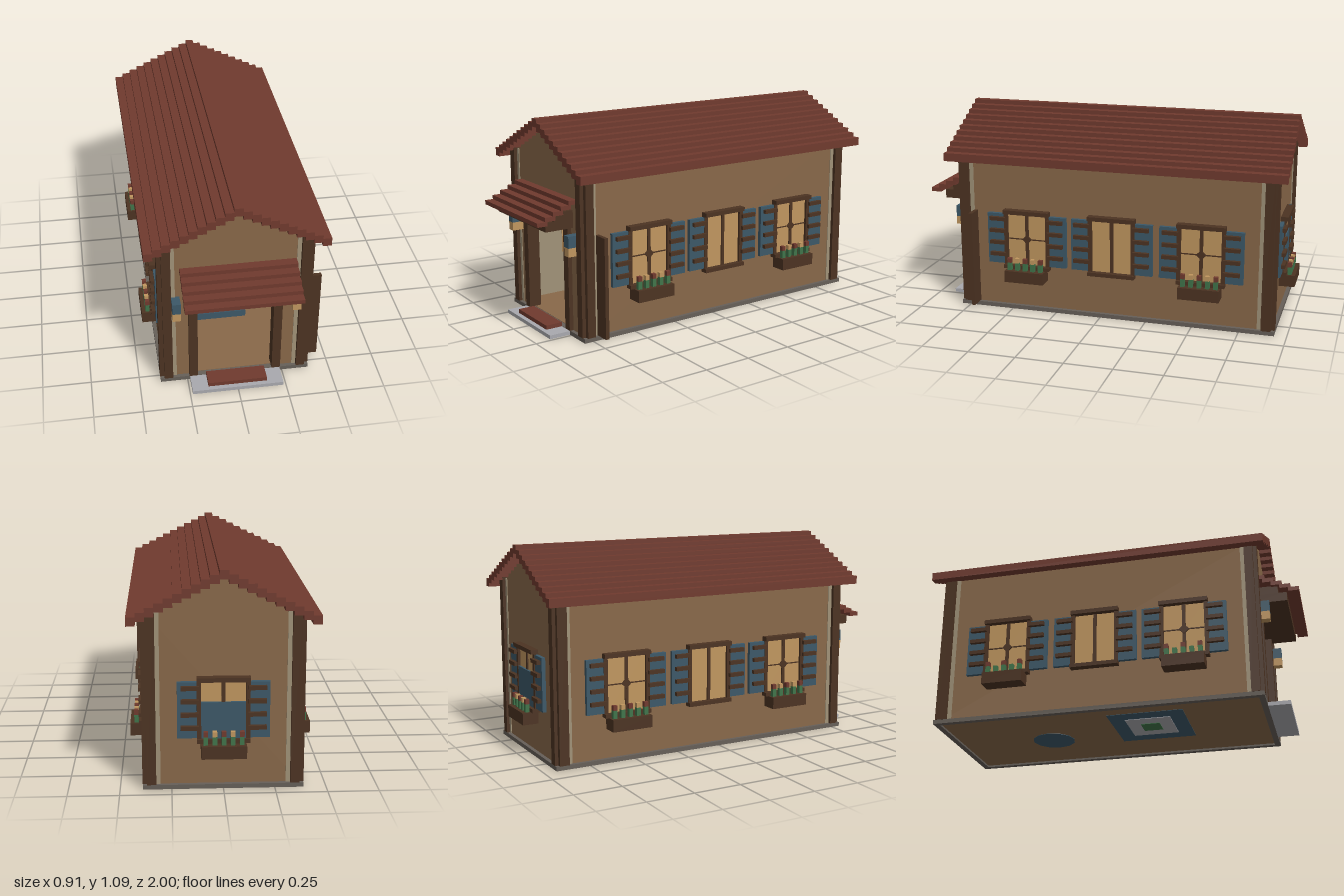
import * as THREE from 'three';

const mat = (name, color) => {
  const m = new THREE.MeshStandardMaterial({ color });
  m.name = name;
  return m;
};

export function createModel() {
  const M = {
    roof: mat('brick red', 0x703a2e),
    wall: mat('tan plaster', 0x886849),
    wood: mat('dark wood', 0x4c3322),
    plaster: mat('pale plaster', 0xa09278),
    stone: mat('foundation stone', 0x665f58),
    grey: mat('light stone', 0xa9a9ae),
    blue: mat('slate blue', 0x3c5868),
    pane: mat('warm pane', 0xc0965f),
    green: mat('leaf green', 0x40744a),
  };
  const house = new THREE.Group();
  house.name = 'house';

  const add = (parent, name, geo, m) => {
    const mesh = new THREE.Mesh(geo, m);
    mesh.name = name;
    parent.add(mesh);
    return mesh;
  };
  // Box given by its min and max on each axis
  const box = (parent, name, m, x0, x1, y0, y1, z0, z1) => {
    const b = add(parent, name, new THREE.BoxGeometry(x1 - x0, y1 - y0, z1 - z0), m);
    b.position.set((x0 + x1) / 2, (y0 + y1) / 2, (z0 + z1) / 2);
    return b;
  };
  // Box mirrored across x = 0
  const pair = (parent, name, m, x0, x1, ...r) => {
    box(parent, name, m, x0, x1, ...r);
    box(parent, name, m, -x1, -x0, ...r);
  };

  // Foundation rim and floor
  pair(house, 'foundationSide', M.stone, 0.36, 0.39, 0, 0.022, -0.935, 0.8);
  box(house, 'foundationFront', M.stone, -0.36, 0.36, 0, 0.022, 0.77, 0.8);
  box(house, 'foundationBack', M.stone, -0.36, 0.36, 0, 0.022, -0.935, -0.905);
  box(house, 'floor', M.wall, -0.36, 0.36, 0.01, 0.024, -0.905, 0.77);

  // Gable walls, with a doorway at the front
  const gable = (hw, top, door) => {
    const pts = [[-hw, 0.02]];
    if (door) pts.push([-0.2, 0.02], [-0.2, 0.58], [0.2, 0.58], [0.2, 0.02]);
    pts.push([hw, 0.02], [hw, top - hw / 2], [0, top], [-hw, top - hw / 2]);
    return new THREE.Shape(pts.map(p => new THREE.Vector2(...p)));
  };
  const slab = (name, shape, depth, z, m) => {
    const g = new THREE.ExtrudeGeometry(shape, { depth, bevelEnabled: false });
    add(house, name, g, m).position.z = z;
  };
  slab('frontWall', gable(0.37, 1.06, true), 0.03, 0.75, M.wall);
  slab('frontLining', gable(0.345, 1.045, true), 0.01, 0.74, M.plaster);
  slab('backWall', gable(0.37, 1.06, false), 0.03, -0.915, M.wall);
  slab('backLining', gable(0.345, 1.045, false), 0.01, -0.885, M.plaster);

  // Long walls with inner lining
  pair(house, 'sideWall', M.wall, 0.345, 0.37, 0.02, 0.875, -0.9, 0.77);
  pair(house, 'sideLining', M.plaster, 0.335, 0.345, 0.02, 0.875, -0.885, 0.75);

  // Notched corner posts with pale strips beside them
  for (const [zi, zm, zo] of [[0.737, 0.782, 0.802], [-0.865, -0.917, -0.935]]) {
    const [a, b, c] = [zi, zm, zo];
    pair(house, 'cornerPost', M.wood, 0.325, 0.37, 0.022, 0.885, Math.min(a, c), Math.max(a, c));
    pair(house, 'cornerPostSide', M.wood, 0.33, 0.392, 0.022, 0.87, Math.min(a, b), Math.max(a, b));
    const s = Math.sign(zi);
    const wz = s > 0 ? 0.78 : -0.915;
    pair(house, 'cornerPlaster', M.plaster, 0.304, 0.325, 0.022, 0.88,
      Math.min(wz - 0.002, wz + s * 0.004), Math.max(wz + 0.002, wz + s * 0.004));
    pair(house, 'cornerPlasterSide', M.plaster, 0.368, 0.374, 0.022, 0.86,
      Math.min(zi, zi - s * 0.022), Math.max(zi, zi - s * 0.022));
  }

  // Stepped main roof
  const u = 1 / 46;
  box(house, 'roofRidge', M.roof, -u, u, 1.087 - 2 * u, 1.087, -0.98, 0.845);
  for (let k = 1; k <= 10; k++) {
    const x = u + 2 * u * (k - 1), y = 1.087 - u * k;
    pair(house, 'roofStep', M.roof, x, x + 2 * u, y - 2 * u, y, -0.98, 0.845);
  }

  // Doorway frame and open door leaf folded by the side wall
  pair(house, 'doorPost', M.wood, 0.195, 0.24, 0.022, 0.57, 0.735, 0.802);
  box(house, 'doorLintel', M.wood, -0.26, 0.26, 0.567, 0.615, 0.735, 0.935);
  box(house, 'canopyBeam', M.wood, -0.26, 0.26, 0.615, 0.658, 0.775, 0.89);
  box(house, 'doorLeaf', M.wood, 0.37, 0.455, 0.022, 0.545, 0.697, 0.717);

  // Stepped canopy over the door
  for (let k = 0; k < 5; k++) {
    const z = 1 - 2 * u * k;
    box(house, 'canopyStep', M.roof, -0.28, 0.302, 0.61 + u * k, 0.61 + u * (k + 1),
      k === 4 ? 0.77 : z - 2.6 * u, z);
  }

  // Doorstep and mat
  box(house, 'doorstep', M.grey, -0.237, 0.237, 0, 0.02, 0.8, 0.914);
  box(house, 'doormat', M.roof, -0.153, 0.153, 0.02, 0.042, 0.8, 0.89);

  // Wall lanterns
  pair(house, 'lanternCap', M.blue, 0.282, 0.325, 0.485, 0.545, 0.775, 0.845);
  pair(house, 'lanternGlow', M.pane, 0.282, 0.325, 0.44, 0.485, 0.775, 0.845);

  // Window facing local +z, with shutters and an optional flower box
  const makeWindow = (planter, quartered) => {
    const w = new THREE.Group();
    w.name = 'window';
    box(w, 'pane', M.pane, -0.11, 0.11, 0.255, 0.55, -0.04, 0.01);
    pair(w, 'frameStile', M.wood, 0.107, 0.128, 0.245, 0.56, 0, 0.024);
    box(w, 'frameHead', M.wood, -0.128, 0.128, 0.543, 0.565, 0, 0.04);
    box(w, 'sill', M.wood, -0.128, 0.128, 0.238, 0.258, 0, 0.04);
    box(w, 'mullion', M.wood, -0.009, 0.009, 0.255, 0.55, 0, 0.016);
    if (quartered) {
      box(w, 'glazingBar', M.wood, -0.11, 0.11, 0.399, 0.405, 0, 0.014);
      const d = box(w, 'glazingBoss', M.wood, -0.019, 0.019, 0.383, 0.421, 0.01, 0.018);
      d.rotation.z = Math.PI / 4;
    }
    pair(w, 'shutter', M.blue, 0.128, 0.222, 0.26, 0.54, -0.005, 0.02);
    for (let i = 0; i < 4; i++) {
      const y = 0.305 + i * 0.066;
      pair(w, 'shutterSlat', M.wood, 0.118, 0.205, y, y + 0.02, 0.015, 0.04);
    }
    if (planter) {
      box(w, 'flowerBox', M.wood, -0.109, 0.109, 0.175, 0.238, 0, 0.085);
      for (let i = 0; i < 5; i++) {
        const x = (i - 2) * 0.0435;
        box(w, 'flowerStem', M.green, x - 0.011, x + 0.011, 0.238, 0.28, 0.043, 0.065);
        box(w, 'flower', i % 2 ? M.pane : M.roof, x - 0.011, x + 0.011, 0.28, 0.305, 0.043, 0.065);
      }
    }
    house.add(w);
    return w;
  };
  for (const s of [1, -1]) {
    [0.41, -0.064, -0.545].forEach((z, i) => {
      const w = makeWindow(i !== 1, i !== 1);
      w.position.set(s * 0.37, 0, z);
      w.rotation.y = s * Math.PI / 2;
    });
  }
  const back = makeWindow(true, false);
  back.position.z = -0.915;
  back.rotation.y = Math.PI;
  box(back, 'backWindowPanel', M.blue, -0.107, 0.107, 0.258, 0.44, 0, 0.022);
  // Inside of the back window
  box(house, 'innerCurtain', M.roof, -0.022, 0.022, 0.46, 0.545, -0.876, -0.868);
  box(house, 'headboard', M.grey, -0.108, 0.108, 0.024, 0.46, -0.876, -0.84);

  // Stepped stone centrepiece on a blue base, which shows beneath the floor
  const cx = -0.07, cz = 0.17;
  const tier = (name, m, r, y0, y1) =>
    box(house, name, m, cx - r, cx + r, y0, y1, cz - r, cz + r);
  tier('centreBase', M.blue, 0.2, 0.008, 0.065);
  tier('centreBaseUpper', M.blue, 0.175, 0.065, 0.11);
  [[0.155, 0.11], [0.13, 0.2], [0.11, 0.31], [0.085, 0.39]].forEach(([r, y], i, a) =>
    tier('centreTier', M.grey, r, y, i < 3 ? a[i + 1][1] : 0.435));
  box(house, 'centrePanel', M.green, -0.15, -0.025, 0.2, 0.305, cz, cz + 0.158);
  tier('centreUnderside', M.grey, 0.12, 0.005, 0.02);
  tier('centreCore', M.green, 0.05, 0.002, 0.02);

  // Round blue stool towards the back
  const stool = add(house, 'roundStool', new THREE.CylinderGeometry(0.115, 0.115, 0.232, 12), M.blue);
  stool.position.set(0.03, 0.124, -0.4);

  return house;
}
